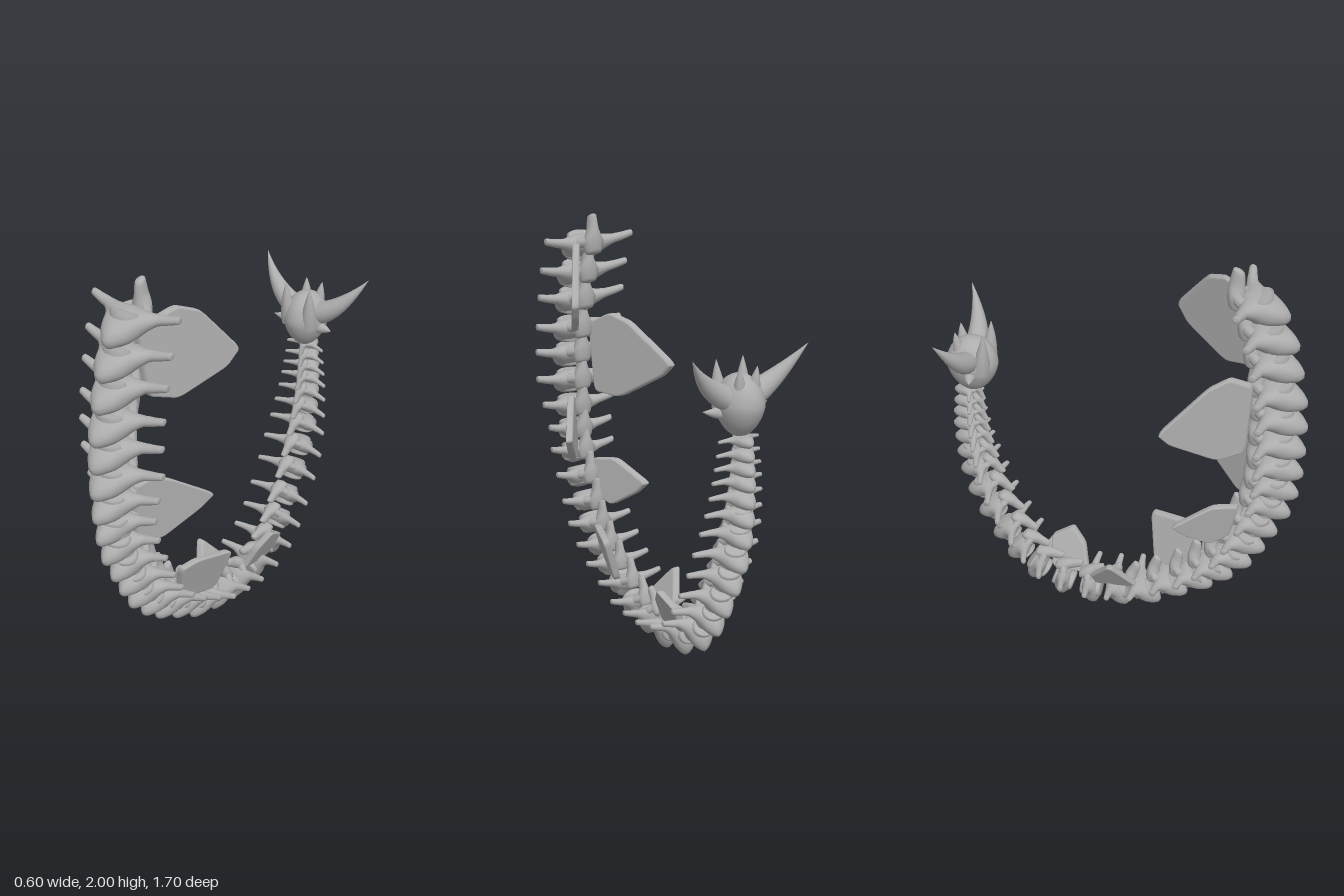
import * as THREE from 'three';

const bone = new THREE.MeshStandardMaterial({ color: 0xadadad });
bone.name = 'bone grey';
const V = (x, y, z) => new THREE.Vector3(x, y, z);

// Smooth skin through elliptical stations [x, y, z, radiusU, radiusV]; u x v points along the path
function loft(stations, u, v, steps = 24, sides = 14) {
  const path = new THREE.CatmullRomCurve3(stations.map((s) => V(s[0], s[1], s[2])));
  const radii = new THREE.CatmullRomCurve3(stations.map((s) => V(s[3], s[4], 0)));
  const pos = [], index = [];
  for (let i = 0; i <= steps; i++) {
    const c = path.getPoint(i / steps), r = radii.getPoint(i / steps);
    for (let j = 0; j < sides; j++) {
      const a = (j / sides) * Math.PI * 2;
      const p = c.clone()
        .addScaledVector(u, Math.cos(a) * Math.max(r.x, 0))
        .addScaledVector(v, Math.sin(a) * Math.max(r.y, 0));
      pos.push(p.x, p.y, p.z);
      if (i < steps) {
        const k = (j + 1) % sides, n = i * sides;
        index.push(n + j, n + k, n + sides + k, n + j, n + sides + k, n + sides + j);
      }
    }
  }
  const g = new THREE.BufferGeometry();
  g.setAttribute('position', new THREE.Float32BufferAttribute(pos, 3));
  g.setIndex(index);
  g.computeVertexNormals();
  return g;
}

// Evenly tapering horn from a to c, bent toward b
function horn(a, b, c, r) {
  const d = c.clone().sub(a).normalize();
  const u = V(0, 0, 1).cross(d).normalize();
  const v = d.clone().cross(u);
  const bend = new THREE.QuadraticBezierCurve3(a, b, c);
  const stations = [];
  for (let i = 0; i <= 8; i++) {
    const p = bend.getPoint(i / 8), q = r * (1 - Math.pow(i / 8, 1.5));
    stations.push([p.x, p.y, p.z, q, q]);
  }
  return loft(stations, u, v, 16, 14);
}

function mesh(name, geometry, parent) {
  const m = new THREE.Mesh(geometry, bone);
  m.name = name;
  parent.add(m);
  return m;
}

// Piecewise linear lookup of [key, value] pairs
function lookup(keys, t) {
  for (let i = 1; i < keys.length; i++) {
    const [a, va] = keys[i - 1], [b, vb] = keys[i];
    if (t <= b) return va + ((vb - va) * (t - a)) / (b - a);
  }
  return keys[keys.length - 1][1];
}

// Vertebra centres as [z, y]
const SPINE = [
  [0.625, 1.83], [0.675, 1.685], [0.705, 1.545], [0.73, 1.395], [0.74, 1.265], [0.74, 1.13],
  [0.737, 1.0], [0.725, 0.88], [0.7, 0.765], [0.648, 0.645], [0.593, 0.53], [0.535, 0.428],
  [0.45, 0.338], [0.355, 0.265], [0.235, 0.2], [0.11, 0.135], [-0.03, 0.105], [-0.17, 0.095],
  [-0.315, 0.122], [-0.445, 0.19], [-0.535, 0.29], [-0.6, 0.4], [-0.665, 0.525], [-0.712, 0.645],
  [-0.745, 0.76], [-0.762, 0.855], [-0.772, 0.94], [-0.777, 1.015], [-0.777, 1.08],
  [-0.775, 1.142], [-0.772, 1.205],
];
const SIZE = [[0, 1], [5, 0.97], [9, 0.87], [16, 0.75], [23, 0.7], [26, 0.57], [30, 0.43]];
const WIDTH = [[0, 0.24], [5, 0.235], [6, 0.205], [7, 0.178], [23, 0.175], [26, 0.14], [30, 0.105]];
const LEAN = [[0, 42], [5, 22], [9, 2], [13, -28], [15, -28], [17, -11], [30, -12]];

// Plates: side, sideways reach at foot and tip, foot and tip as [z, y], outline as [z, y]
const PLATES = [
  [1, 0.05, 0.275, [0.58, 1.66], [0.19, 1.64],
    [[0.59, 1.81], [0.43, 1.89], [0.34, 1.855], [0.185, 1.645], [0.24, 1.565], [0.44, 1.455], [0.56, 1.49]]],
  [-1, 0.06, 0.275, [0.58, 1.29], [0.22, 1.28],
    [[0.6, 1.45], [0.5, 1.51], [0.41, 1.475], [0.21, 1.285], [0.26, 1.22], [0.46, 1.085], [0.58, 1.1]]],
  [1, 0.05, 0.24, [0.62, 0.94], [0.33, 0.96],
    [[0.64, 1.06], [0.57, 1.1], [0.5, 1.075], [0.32, 0.955], [0.38, 0.885], [0.53, 0.76], [0.63, 0.8]]],
  [-1, 0.03, 0.16, [0.53, 0.62], [0.27, 0.69],
    [[0.56, 0.76], [0.44, 0.78], [0.26, 0.685], [0.31, 0.625], [0.43, 0.54], [0.52, 0.58]]],
  [1, 0.03, 0.175, [0.33, 0.3], [0.1, 0.5],
    [[0.36, 0.485], [0.28, 0.515], [0.095, 0.5], [0.13, 0.265], [0.31, 0.265]]],
  [-1, 0.03, 0.13, [-0.05, 0.17], [-0.05, 0.355],
    [[0.08, 0.18], [-0.05, 0.365], [-0.16, 0.23], [-0.14, 0.16]]],
  [1, 0.03, 0.12, [-0.28, 0.17], [-0.3, 0.365],
    [[-0.19, 0.17], [-0.22, 0.3], [-0.29, 0.375], [-0.4, 0.315], [-0.38, 0.17]]],
];

function plate([side, x0, x1, foot, tip, outline]) {
  // Outline with rounded corners
  const shape = new THREE.Shape();
  const n = outline.length;
  const between = (a, b, t) => [a[0] + (b[0] - a[0]) * t, a[1] + (b[1] - a[1]) * t];
  outline.forEach((p, i) => {
    const before = between(p, outline[(i + n - 1) % n], 0.17);
    const after = between(p, outline[(i + 1) % n], 0.17);
    if (i === 0) shape.moveTo(...before);
    else shape.lineTo(...before);
    shape.quadraticCurveTo(...p, ...after);
  });
  shape.closePath();
  const g = new THREE.ExtrudeGeometry(shape, {
    depth: 0.018, bevelThickness: 0.011, bevelSize: 0.009, bevelOffset: -0.009,
    bevelSegments: 3, curveSegments: 6,
  });
  // Stand it in the side plane, then splay it outward toward the tip
  const dz = tip[0] - foot[0], dy = tip[1] - foot[1], len2 = dz * dz + dy * dy;
  const p = g.attributes.position;
  for (let i = 0; i < p.count; i++) {
    const z = p.getX(i), y = p.getY(i), t = ((z - foot[0]) * dz + (y - foot[1]) * dy) / len2;
    p.setXYZ(i, side * (x0 + (x1 - x0) * t) + 0.009 - p.getZ(i), y, z);
  }
  g.computeVertexNormals();
  return g;
}

export function createModel() {
  const model = new THREE.Group();
  model.name = 'spinedTail';
  const X = V(1, 0, 0), Y = V(0, 1, 0), Z = V(0, 0, 1);

  // Vertebra parts: x sideways, y toward the inside of the curve, z back along the chain
  const half = [
    [0.24, 0.108, 0.016, 0, 0], [0.237, 0.108, 0.016, 0.017, 0.016], [0.19, 0.098, 0.008, 0.022, 0.02],
    [0.14, 0.086, 0.002, 0.028, 0.024], [0.1, 0.06, -0.002, 0.05, 0.036], [0.062, 0.02, -0.004, 0.092, 0.052],
  ];
  const left = half.map(([x, ...r]) => [-x, ...r]);
  const wings = loft([...left, [0, -0.003, -0.005, 0.122, 0.06], ...half.slice().reverse()], Y, Z, 48, 16);
  const spool = new THREE.LatheGeometry(
    [[0, -0.5], [0.055, -0.5], [0.066, -0.42], [0.058, -0.15], [0.058, 0.15], [0.066, 0.42], [0.055, 0.5], [0, 0.5]]
      .map(([r, y]) => new THREE.Vector2(r, y)), 18);
  spool.rotateX(Math.PI / 2);
  const spine = loft([
    [0, 0.115, -0.075, 0, 0], [0, 0.12, -0.065, 0.04, 0.03], [0, 0.135, -0.015, 0.05, 0.043],
    [0, 0.157, 0.045, 0.028, 0.038], [0, 0.178, 0.105, 0.02, 0.027], [0, 0.183, 0.113, 0, 0],
  ], X, Y);
  const arches = [-1, 1].map((s) => new THREE.TubeGeometry(new THREE.CatmullRomCurve3([
    V(s * 0.045, 0.03, 0), V(s * 0.058, 0.09, -0.005), V(s * 0.02, 0.14, -0.01)]), 10, 0.026, 8));

  // Chain of vertebrae
  const points = SPINE.map(([z, y]) => V(0, y, z));
  points.forEach((p, i) => {
    const prev = points[Math.max(i - 1, 0)], next = points[Math.min(i + 1, points.length - 1)];
    const back = prev.clone().sub(next);
    const gap = back.length() / (i === 0 || i === points.length - 1 ? 1 : 2);
    back.normalize();
    const lean = THREE.MathUtils.degToRad(lookup(LEAN, i)), size = lookup(SIZE, i);
    const inward = back.clone().cross(X).multiplyScalar(Math.cos(lean)).addScaledVector(back, Math.sin(lean));
    const v = new THREE.Group();
    v.name = 'vertebra' + (i + 1);
    v.position.copy(p);
    v.quaternion.setFromRotationMatrix(new THREE.Matrix4().makeBasis(X, inward, X.clone().cross(inward)));
    v.scale.setScalar(size);
    mesh('sideProcesses', wings, v).scale.x = lookup(WIDTH, i) / (0.24 * size);
    const body = mesh('centrum', spool, v);
    body.position.y = 0.015;
    body.rotation.x = -lean;
    body.scale.set(1.2, 1, (gap * 0.74) / size);
    mesh('neuralSpine', spine, v);
    for (const arch of arches) mesh('neuralArch', arch, v);
    model.add(v);
  });

  // Splayed plates, alternating sides
  PLATES.forEach((p, i) => mesh('plate' + (i + 1), plate(p), model));

  // Club at the end of the tail, narrowing toward its neck
  const club = new THREE.Group();
  club.name = 'tailClub';
  model.add(club);
  const ball = new THREE.SphereGeometry(1, 32, 24);
  const bp = ball.attributes.position;
  for (let i = 0; i < bp.count; i++) {
    const y = bp.getY(i), k = y < 0 ? 1 + 0.18 * y : 1;
    bp.setXYZ(i, bp.getX(i) * 0.105 * k, y * 0.14, bp.getZ(i) * 0.122 * k);
  }
  ball.computeVertexNormals();
  mesh('clubBall', ball, club).position.set(0, 1.36, -0.728);
  for (const s of [-1, 1]) {
    mesh('largeHorn', horn(V(s * 0.04, 1.39, -0.735), V(s * 0.19, 1.44, -0.725), V(s * 0.3, 1.612, -0.81), 0.06), club);
    mesh('frontHorn', horn(V(s * 0.055, 1.345, -0.672), V(s * 0.068, 1.46, -0.652), V(s * 0.07, 1.555, -0.65), 0.042), club);
    mesh('crownSpike', horn(V(s * 0.035, 1.42, -0.775), V(s * 0.042, 1.49, -0.785), V(s * 0.046, 1.54, -0.79), 0.03), club);
    mesh('sideSpike', horn(V(s * 0.07, 1.335, -0.718), V(s * 0.125, 1.335, -0.712), V(s * 0.17, 1.345, -0.695), 0.031), club);
  }
  return model;
}
